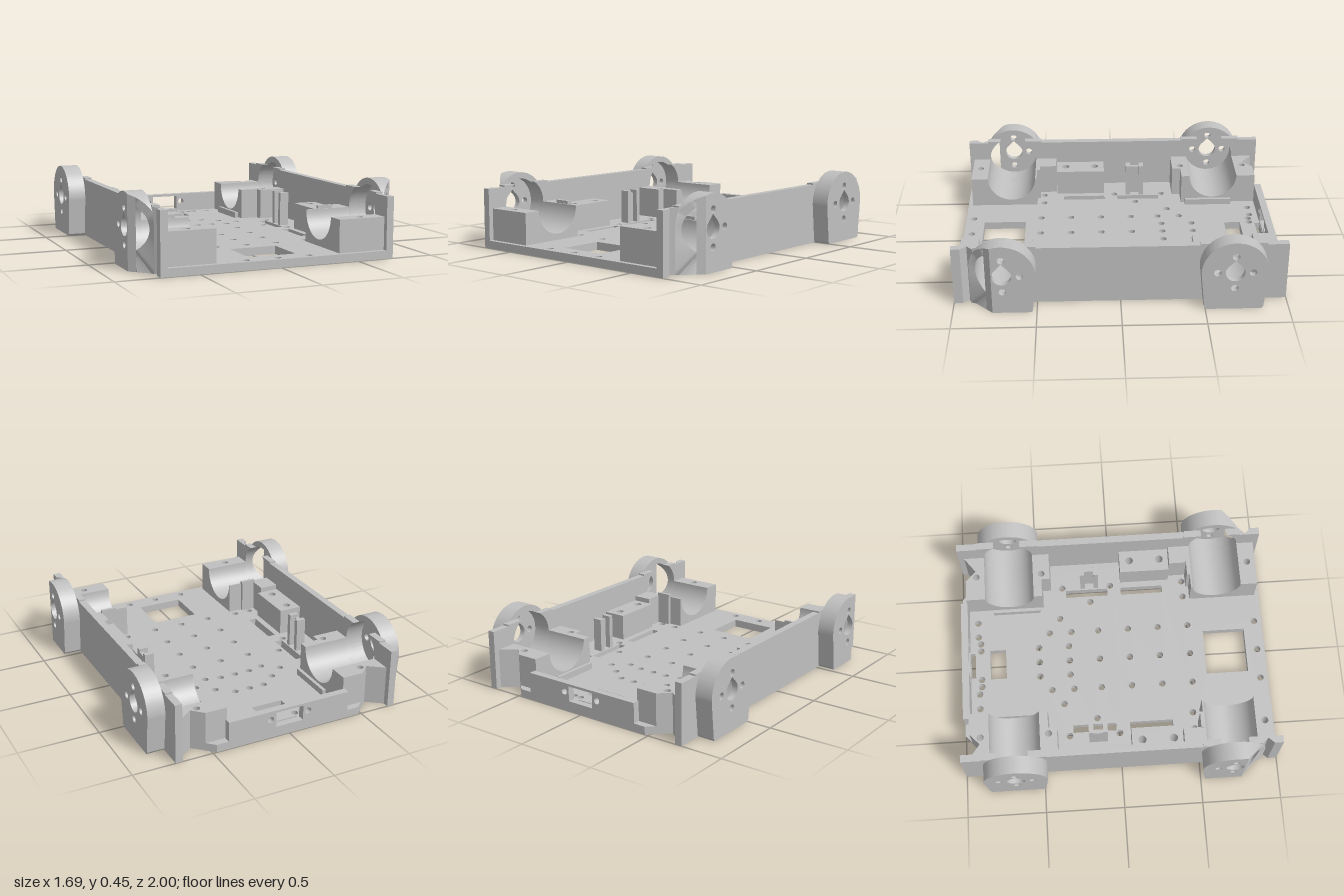
import * as THREE from 'three';
import { toCreasedNormals } from 'three/addons/utils/BufferGeometryUtils.js';

const plastic = new THREE.MeshStandardMaterial({ color: 0xc0c0c0 });
plastic.name = 'grey plastic';

const AXLE_Y = 0.25, BORE = 0.16, SHELL = 0.2;
const FRONT = 0.7, BACK = -0.67;
const WALL_IN = 0.69, WALL_OUT = 0.735, CAP_IN = 0.808, CAP_OUT = 0.845;

function part(name, geometry, parent) {
  const mesh = new THREE.Mesh(toCreasedNormals(geometry, 0.5), plastic);
  mesh.name = name;
  parent.add(mesh);
}
const loop = (pts) => pts.map(([a, b]) => new THREE.Vector2(a, b));
const circle = (a, b, r, n = 20) =>
  Array.from({ length: n }, (_, i) => {
    const t = (i / n) * Math.PI * 2;
    return [a + r * Math.cos(t), b + r * Math.sin(t)];
  });
const rect = (a0, b0, a1, b1) => [[a0, b0], [a1, b0], [a1, b1], [a0, b1]];

// A counter-clockwise outline keeps the hole walls facing the right way
function extrude(pts, holes, depth) {
  const outline = loop(pts);
  if (THREE.ShapeUtils.isClockWise(outline)) outline.reverse();
  const shape = new THREE.Shape(outline);
  shape.holes = holes.map((h) => new THREE.Path(loop(h)));
  return new THREE.ExtrudeGeometry(shape, { depth, bevelEnabled: false });
}
// Outline in [x, z], raised from y0 to y1
function plan(pts, y0, y1, holes = []) {
  const flip = (l) => l.map(([x, z]) => [x, -z]);
  return extrude(flip(pts), holes.map(flip), y1 - y0).rotateX(-Math.PI / 2).translate(0, y0, 0);
}
// Outline in [z, y], swept from x0 to x1
function side(pts, x0, x1, holes = []) {
  const flip = (l) => l.map(([z, y]) => [-z, y]);
  return extrude(flip(pts), holes.map(flip), x1 - x0).rotateY(Math.PI / 2).translate(x0, 0, 0);
}
// Lower part of the motor bore, from +z to -z, below a given height
function boreArc(zc, topY, n = 40) {
  const a = Math.asin((topY - AXLE_Y) / BORE);
  return Array.from({ length: n + 1 }, (_, i) => {
    const t = a - (i / n) * (Math.PI + 2 * a);
    return [zc + BORE * Math.cos(t), AXLE_Y + BORE * Math.sin(t)];
  });
}

// Round-topped housing outline; sides taper, except the upright front of the front pair
const RING = 128;
function housingPoint(i, zc) {
  const t = (i / RING) * Math.PI * 2, c = Math.cos(t), s = Math.sin(t);
  const taper = zc === FRONT && c > 0 ? 0 : 0.1;
  const r = s >= 0 ? SHELL : Math.min(AXLE_Y / -s, SHELL / (Math.abs(c) - taper * s));
  return [zc + r * c, AXLE_Y + r * s];
}
// Keep the section of a convex outline where sign * z <= sign * limit
function clip(pts, limit, sign) {
  const out = [];
  pts.forEach((p, i) => {
    const q = pts[(i + 1) % pts.length];
    const dp = sign * (limit - p[0]), dq = sign * (limit - q[0]);
    if (dp >= 0) out.push(p);
    if (dp * dq < 0) out.push([limit, p[1] + ((q[1] - p[1]) * dp) / (dp - dq)]);
  });
  return out;
}

// Bored shell; "cut" is the x + z limit of its slanted face
function shellRing(zc, cut) {
  const pos = [], idx = [];
  const end = (z) => Math.max(WALL_OUT, Math.min(CAP_IN, cut - z));
  for (let i = 0; i <= RING; i++) {
    const t = (i / RING) * Math.PI * 2;
    const outer = housingPoint(i, zc);
    const inner = [zc + BORE * Math.cos(t), AXLE_Y + BORE * Math.sin(t)];
    for (const [x, [z, y]] of [[WALL_OUT, outer], [end(outer[0]), outer], [end(inner[0]), inner], [WALL_OUT, inner]])
      pos.push(x, y, z);
  }
  for (let i = 0; i < RING; i++)
    for (let k = 0; k < 4; k++) {
      const a = i * 4 + k, b = i * 4 + ((k + 1) % 4);
      idx.push(a, b, a + 4, b, b + 4, a + 4);
    }
  const g = new THREE.BufferGeometry();
  g.setAttribute('position', new THREE.Float32BufferAttribute(pos, 3));
  g.setIndex(idx);
  return g;
}

function wheelHousing(zc, slanted) {
  const group = new THREE.Group();
  group.name = slanted ? 'frontWheelHousing' : 'backWheelHousing';
  const cut = slanted ? 1.608 : 10;
  part('housingShell', shellRing(zc, cut), group);

  // End cap with teardrop shaft hole and screw holes
  let outline = Array.from({ length: RING }, (_, i) => housingPoint(i, zc));
  const drop = [[zc, AXLE_Y + 0.083]];
  for (let i = 0; i <= 24; i++) {
    const t = Math.PI * (0.75 + (i / 24) * 1.5);
    drop.push([zc + 0.058 * Math.cos(t), AXLE_Y + 0.058 * Math.sin(t)]);
  }
  const holes = [drop];
  for (const [dz, dy] of [[0, 0.108], [0, -0.106], [-0.105, 0], [0.105, 0]])
    if (!(slanted && dz > 0)) holes.push(circle(zc + dz, AXLE_Y + dy, 0.022));
  if (slanted) {
    const edge = cut - CAP_OUT;
    const sliver = side(clip(clip(outline, edge, -1), cut - CAP_IN, 1), CAP_IN, CAP_OUT);
    const p = sliver.attributes.position;
    for (let i = 0; i < p.count; i++) p.setX(i, Math.max(CAP_IN, Math.min(p.getX(i), cut - p.getZ(i))));
    part('slantedCapEdge', sliver, group);
    outline = clip(outline, edge, 1);
  }
  part('housingCap', side(outline, CAP_IN, CAP_OUT, holes), group);
  return group;
}

function motorCradle(zc, front) {
  const group = new THREE.Group();
  group.name = front ? 'frontMotorCradle' : 'backMotorCradle';
  const a = zc - 0.17, b = zc + 0.17;
  part('trough', side([[a, 0.05], [b, 0.05], [b, AXLE_Y], ...boreArc(zc, AXLE_Y), [a, AXLE_Y]], 0.39, WALL_IN), group);
  const screw = (z) => [circle(0.55, z, 0.022)];
  if (front) {
    part('frontBlock', plan(rect(0.39, b, WALL_IN, 0.97), 0.05, 0.25, screw(0.917)), group);
    part('rearBlock', plan([[0.48, a], [0.48, 0.51], [0.57, 0.51], [0.57, 0.4], [WALL_IN, 0.4], [WALL_IN, a]], 0.05, 0.25), group);
    part('retainingTab', plan(rect(0.475, 0.51, 0.575, a), 0.25, 0.27), group);
  } else {
    part('frontBlock', plan([[0.39, b], [0.39, -0.455], [0.51, -0.455], [0.51, -0.4], [WALL_IN, -0.4], [WALL_IN, b]],
      0.05, 0.25, screw(-0.455)), group);
    part('rearBlock', plan([[0.39, a], [0.39, -0.955], [0.525, -0.955], [0.593, -0.89], [WALL_IN, -0.963], [WALL_IN, a]],
      0.05, 0.25, screw(-0.885)), group);
  }
  return group;
}

function sideWall() {
  const pts = [[0.87, 0], [0.87, 0.385]];
  for (const zc of [FRONT, BACK]) {
    if (zc === BACK) pts.push([zc + 0.2, 0.375], [zc + 0.2, 0.385]);
    pts.push(...boreArc(zc, 0.385), [zc - 0.2, 0.385], [zc - 0.2, 0.375]);
  }
  pts.push([-1, 0.375], [-1, 0]);
  return side(pts, WALL_IN, WALL_OUT);
}

function halfBody() {
  const half = new THREE.Group();
  part('sideWall', sideWall(), half);
  part('notchedCornerWall', plan([[WALL_IN, 0.87], [WALL_OUT, 0.87], [0.7, 0.907], [WALL_OUT, 0.945],
    [WALL_OUT, 1], [WALL_IN, 1]], 0, 0.375), half);
  half.add(wheelHousing(FRONT, true), wheelHousing(BACK, false), motorCradle(FRONT, true), motorCradle(BACK, false));
  part('sidePlatform', plan(rect(0.54, 0.07, WALL_IN, 0.395), 0.05, 0.22,
    [circle(0.62, 0.135, 0.026), circle(0.62, 0.335, 0.026)]), half);
  // Slotted upright post
  part('postWeb', plan(rect(0.545, -0.17, 0.57, -0.11), 0.05, 0.25), half);
  for (const z of [-0.2, -0.11]) part('postProng', plan(rect(0.51, z, 0.57, z + 0.03), 0.05, 0.27), half);
  part('floorRib', plan(rect(0.353, -0.79, 0.375, -0.48), 0.05, 0.09), half);
  return half;
}

function basePlate() {
  const right = [[0.477, -1], [0.593, -0.89], [0.7, -0.97], [0.7, -1], [WALL_OUT, -1], [WALL_OUT, 0.87],
    [0.7, 0.907], [WALL_OUT, 0.945], [WALL_OUT, 1]];
  const outline = [...right, ...right.map(([x, z]) => [-x, z]).reverse()];
  const holes = [rect(-0.1, -0.825, 0.1, -0.72), rect(-0.085, -0.953, 0.085, -0.922), rect(-0.15, 0.6, 0.15, 0.875)];
  const mirrored = [[0.3, -0.9], [0.2, -0.9], [0.15, -0.885], [0.1, -0.885], [0.1, -0.5], [0.2, -0.425], [0.3, -0.35],
    [0.1, -0.3], [0.2, -0.28], [0.52, -0.325], [0.52, 0], [0.41, -0.14], [0.41, 0.485], [0.52, 0.485]];
  for (const z of [-0.1, 0.1, 0.3, 0.5, 0.95]) mirrored.push([0.2, z]);
  for (const s of [-1, 1]) {
    for (const [x, z] of mirrored) holes.push(circle(s * x, z, 0.022, 16));
    for (const [z0, z1] of [[-0.3, -0.02], [0.07, 0.35]]) holes.push(rect(s * 0.45, z0, s * 0.5, z1));
  }
  for (const z of [-0.5, -0.3, -0.1, 0.1, 0.3, 0.5, 0.95]) holes.push(circle(0, z, 0.022, 16));
  return plan(outline, 0, 0.05, holes);
}

export function createModel() {
  const model = new THREE.Group();
  model.name = 'robotChassis';
  part('basePlate', basePlate(), model);

  // Low back wall with a connector window and two screw holes
  part('backWall', extrude(rect(-0.4, 0.05, 0.4, 0.175),
    [rect(-0.09, 0.065, 0.09, 0.16), circle(-0.125, 0.12, 0.02), circle(0.125, 0.12, 0.02)], 0.045)
    .translate(0, 0, -1), model);

  for (const s of [1, -1]) {
    const half = halfBody();
    half.name = s > 0 ? 'leftSide' : 'rightSide';
    half.scale.x = s;
    model.add(half);
  }
  return model;
}
